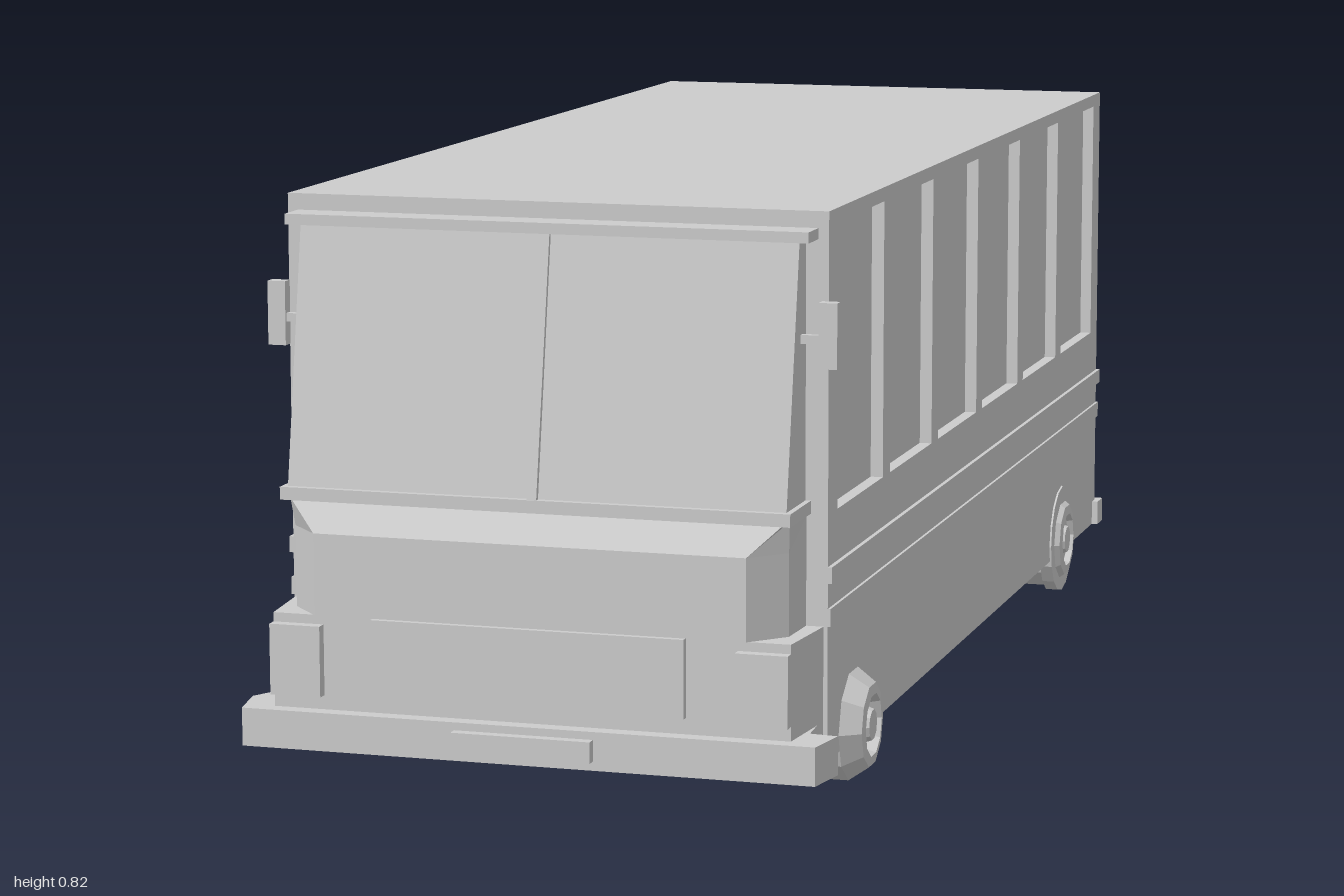
import * as THREE from 'three';

const mat = new THREE.MeshStandardMaterial({ color: 0xcccccc, flatShading: true });

export function createModel() {
  const bus = new THREE.Group();
  bus.name = 'bus';

  const add = (name, geo, x = 0, y = 0, z = 0) => {
    const mesh = new THREE.Mesh(geo, mat);
    mesh.name = name;
    mesh.position.set(x, y, z);
    bus.add(mesh);
    return mesh;
  };

  // Box given by its limits on each axis
  const box = (name, x0, x1, y0, y1, z0, z1) =>
    add(name, new THREE.BoxGeometry(Math.abs(x1 - x0), y1 - y0, z1 - z0),
      (x0 + x1) / 2, (y0 + y1) / 2, (z0 + z1) / 2);

  // Solid symmetric in x: each level is [y, [x, z] points of the +x half, back to front]
  const loft = (name, levels) => {
    const rings = levels.map(([y, half]) => [
      ...half.map(([x, z]) => [-x, y, z]),
      ...[...half].reverse().map(([x, z]) => [x, y, z]),
    ]);
    const pos = [];
    const tri = (...pts) => pts.forEach((p) => pos.push(...p));
    const n = rings[0].length;
    for (let k = 0; k < rings.length - 1; k++) {
      const lo = rings[k], up = rings[k + 1];
      for (let i = 0; i < n; i++) {
        const j = (i + 1) % n;
        tri(lo[i], lo[j], up[j]);
        tri(lo[i], up[j], up[i]);
      }
    }
    const first = rings[0], last = rings[rings.length - 1];
    for (let i = 1; i < n - 1; i++) {
      tri(first[0], first[i + 1], first[i]);
      tri(last[0], last[i], last[i + 1]);
    }
    const geo = new THREE.BufferGeometry();
    geo.setAttribute('position', new THREE.Float32BufferAttribute(pos, 3));
    geo.computeVertexNormals();
    return add(name, geo);
  };

  const rect = (Path, x0, x1, y0, y1) => new Path([
    [x0, y0], [x1, y0], [x1, y1], [x0, y1],
  ].map(([x, y]) => new THREE.Vector2(x, y)));

  // Wall panel with rectangular window openings
  const panel = (width, windows, depth) => {
    const shape = rect(THREE.Shape, -width / 2, width / 2, 0.06, 0.82);
    windows.forEach((w) => shape.holes.push(rect(THREE.Path, ...w)));
    return new THREE.ExtrudeGeometry(shape, { depth, bevelEnabled: false });
  };

  // Passenger body: solid core whose faces form the recessed window panes
  const skin = 0.018;
  box('bodyCore', -0.39 + skin, 0.39 - skin, 0.06, 0.82, -0.98 + skin, 0.84);

  for (const s of [-1, 1]) {
    const windows = [];
    for (let i = 0; i < 6; i++) {
      const z = 0.665 - i * 0.293 + 0.07;
      windows.push([-s * z - 0.126, -s * z + 0.126, 0.405, 0.8]);
    }
    const wall = add('sideWall', panel(1.82, windows, skin), s * (0.39 - skin), 0, -0.07);
    wall.rotation.y = s * Math.PI / 2;

    // Belt mouldings
    box('upperMoulding', s * 0.38, s * 0.396, 0.31, 0.333, -0.98, 0.84);
    box('lowerMoulding', s * 0.38, s * 0.394, 0.25, 0.275, -0.98, 0.84);
  }
  const rear = add('rearWall', panel(0.78, [[-0.355, 0.355, 0.405, 0.79]], skin), 0, 0, -0.98 + skin);
  rear.rotation.y = Math.PI;

  // Cab nose, hood and windscreen
  loft('cabBase', [0.06, 0.25].map((y) => [y, [[0.385, 0.83], [0.372, 0.962]]]));
  const nose = [[0.36, 0.83], [0.356, 0.915], [0.31, 0.965]];
  loft('hood', [[0.25, nose], [0.365, nose], [0.408, [[0.36, 0.83], [0.357, 0.915], [0.355, 0.935]]]]);
  loft('windscreen', [[0.41, [[0.358, 0.83], [0.358, 0.938]]], [0.79, [[0.358, 0.83], [0.358, 0.872]]]]);
  loft('windscreenDivider', [[0.42, [[0.007, 0.92], [0.007, 0.944]]], [0.79, [[0.007, 0.85], [0.007, 0.878]]]]);
  box('windscreenSill', -0.366, 0.366, 0.406, 0.424, 0.83, 0.946);
  box('windscreenVisor', -0.375, 0.375, 0.782, 0.797, 0.83, 0.89);
  box('grille', -0.225, 0.225, 0.14, 0.25, 0.95, 0.974);

  // Bumpers and plate
  const bumper = [[0.38, 0.83], [0.385, 0.915], [0.425, 0.915], [0.412, 0.985]];
  loft('frontBumper', [[0.063, bumper], [0.117, bumper]]);
  box('frontPlate', -0.1, 0.1, 0.076, 0.106, 0.97, 1.0);
  box('rearBumper', -0.4, 0.4, 0.06, 0.1, -1.0, -0.96);

  // Tyre and stepped hub in one turned profile
  const wheelGeo = new THREE.LatheGeometry([
    [0, -0.065], [0.05, -0.065], [0.08, -0.035], [0.08, 0.035], [0.06, 0.063],
    [0.045, 0.065], [0.04, 0.048], [0.027, 0.05], [0.022, 0.064], [0, 0.064],
  ].map(([r, h]) => new THREE.Vector2(r, h)), 10);
  const archGeo = new THREE.CylinderGeometry(0.09, 0.09, 0.02, 16, 1, false, 0, Math.PI * 2);

  for (const s of [-1, 1]) {
    // Lamps
    box('headlight', s * 0.298, s * 0.372, 0.137, 0.237, 0.92, 0.978);
    box('tailLight', s * 0.315, s * 0.37, 0.11, 0.147, -0.988, -0.96);

    // Mirrors
    box('mirrorArm', s * 0.35, s * 0.39, 0.643, 0.655, 0.857, 0.867);
    box('mirror', s * 0.384, s * 0.41, 0.61, 0.7, 0.853, 0.871);

    // Wheels
    for (const [name, x, z] of [['frontWheel', 0.355, 0.7], ['rearWheel', 0.338, -0.695]]) {
      add(name, wheelGeo, s * x, 0.083, z).rotation.z = -s * Math.PI / 2;
    }
    add('rearWheelArch', archGeo, s * 0.383, 0.085, -0.695).rotation.z = Math.PI / 2;

    // Rounded twin housings under the floor
    for (const z of [0.275, -0.18]) {
      for (const x of [0.13, 0.197]) {
        add('underfloorHousing', new THREE.SphereGeometry(1, 16, 12), s * x, 0.185, z)
          .scale.set(0.05, 0.18, 0.18);
      }
    }
  }

  // Underfloor tank and small crossbars
  loft('underfloorTank', [
    [0.006, [[0.1, -0.35], [0.1, 0.15]]],
    [0.035, [[0.16, -0.375], [0.13, 0.19]]],
    [0.07, [[0.17, -0.385], [0.13, 0.21]]],
  ]);
  loft('frontBracket', [[0.05, [[0.04, 0.36], [0.04, 0.4]]], [0.07, [[0.055, 0.34], [0.055, 0.42]]]]);
  for (const z of [0.43, 0.465, 0.5, -0.415]) box('crossbar', -0.06, 0.06, 0.053, 0.07, z - 0.007, z + 0.007);

  return bus;
}
